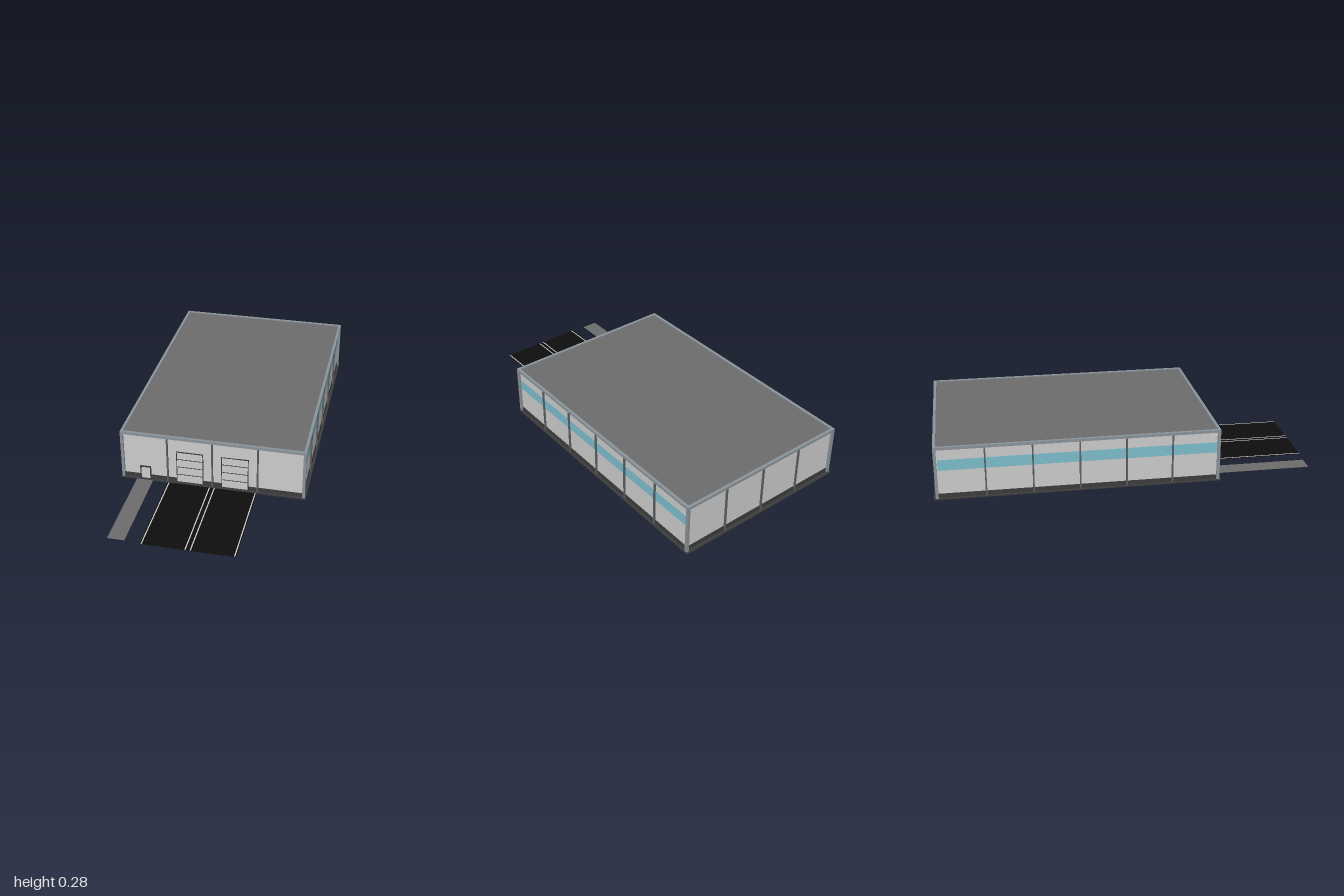
import * as THREE from 'three';

const mat = (color) => new THREE.MeshStandardMaterial({ color });

export function createModel() {
  const model = new THREE.Group();
  const wallMat = mat(0xcccccc), trimMat = mat(0x8a9399), columnMat = mat(0x5a6064);
  const darkMat = mat(0x3c3c3c), roofMat = mat(0x6c6c6c), glassMat = mat(0x7cbccc);
  const roadMat = mat(0x0e0e0e), lineMat = mat(0xdddddd);

  // Box given by its limits on each axis
  function box(name, material, x0, x1, y0, y1, z0, z1, parent = model) {
    const mesh = new THREE.Mesh(new THREE.BoxGeometry(x1 - x0, y1 - y0, z1 - z0), material);
    mesh.position.set((x0 + x1) / 2, (y0 + y1) / 2, (z0 + z1) / 2);
    mesh.name = name;
    parent.add(mesh);
    return mesh;
  }

  const X = 0.49, ZF = 0.475, ZB = -0.99; // outer faces of the frame
  const T = 0.015;                        // frame thickness
  const base = 0.005, top = 0.285, eave = 0.27;
  const wx = X - 0.012, wf = ZF - 0.012, wb = ZB + 0.012; // wall faces

  // Ground slab, wall body, dark plinth and roof
  box('floorSlab', darkMat, -0.495, 0.495, 0, base, -1, 0.48);
  box('walls', wallMat, -wx, wx, base, 0.272, wb, wf);
  const p = 0.003;
  box('plinth', darkMat, -wx - p, wx + p, base, 0.028, wb - p, wf + p);
  box('roof', roofMat, -X + T, X - T, 0.27, 0.28, ZB + T, ZF - T);

  // Corner posts and top edge beams
  for (const s of [-1, 1]) {
    const x0 = s > 0 ? X - T : -X, x1 = x0 + T;
    box('cornerPostFront', trimMat, x0, x1, base, eave, ZF - T, ZF);
    box('cornerPostBack', trimMat, x0, x1, base, eave, ZB, ZB + T);
    box('sideEdgeBeam', trimMat, x0, x1, eave, top, ZB, ZF);
  }
  box('frontEdgeBeam', trimMat, -X + T, X - T, eave, top, ZF - T, ZF);
  box('backEdgeBeam', trimMat, -X + T, X - T, eave, top, ZB, ZB + T);

  // Columns on the front and back walls
  for (const x of [-0.24, 0, 0.24]) {
    box('frontColumn', columnMat, x - 0.004, x + 0.004, base, eave, wf, ZF - 0.003);
    box('backColumn', columnMat, x - 0.004, x + 0.004, base, eave, ZB + 0.003, wb);
  }

  // Side columns and window strips in each of the six bays
  const bay = 0.24, firstZ = 0.465;
  for (const s of [-1, 1]) {
    for (let i = 0; i < 6; i++) {
      const z1 = firstZ - i * bay, z0 = z1 - bay;
      const glass = box('windowStrip', glassMat, -0.001, 0.001, 0.155, 0.212, Math.max(z0, ZB + T) + 0.004, z1 - 0.004);
      glass.position.x = s * wx;
      if (i < 5) {
        const column = box('sideColumn', columnMat, -0.005, 0.005, base, eave, z0 - 0.004, z0 + 0.004);
        column.position.x = s * (wx + 0.004);
      }
    }
  }

  // Sectional loading doors with thin dark joints
  for (const cx of [-0.12, 0.12]) {
    const door = new THREE.Group();
    door.name = 'loadingDoor';
    model.add(door);
    const w = 0.07, h = 0.194, zf = wf + 0.004;
    box('doorLeaf', wallMat, cx - w, cx + w, base, h, wf - 0.002, zf, door);
    for (const y of [0.0065, 0.054, 0.101, 0.148, h - 0.0015])
      box('doorJoint', darkMat, cx - w, cx + w, y - 0.0015, y + 0.0015, wf, zf + 0.002, door);
    for (const s of [-1, 1])
      box('doorJamb', darkMat, cx + s * w - 0.0018, cx + s * w + 0.0018, base, h, wf, zf + 0.002, door);
  }

  // Small entrance door with its frame
  const entrance = new THREE.Group();
  entrance.name = 'entranceDoor';
  model.add(entrance);
  box('entranceLeaf', wallMat, -0.386, -0.336, base, 0.078, wf - 0.002, wf + 0.004, entrance);
  box('entranceFrameRight', darkMat, -0.39, -0.385, base, 0.08, wf, wf + 0.008, entrance);
  box('entranceFrameLeft', darkMat, -0.337, -0.332, base, 0.08, wf, wf + 0.008, entrance);
  box('entranceFrameTop', darkMat, -0.385, -0.337, 0.075, 0.08, wf, wf + 0.008, entrance);

  // Driveway with lane lines, and the footpath
  box('driveway', roadMat, -0.24, 0.238, 0, 0.002, 0.48, 1);
  for (const x of [-0.232, -0.013, 0.013, 0.231])
    box('laneLine', lineMat, x - 0.003, x + 0.003, 0.002, 0.0027, 0.48, 1);
  box('footpath', roofMat, -0.408, -0.32, 0, 0.002, 0.48, 0.99);

  return model;
}
